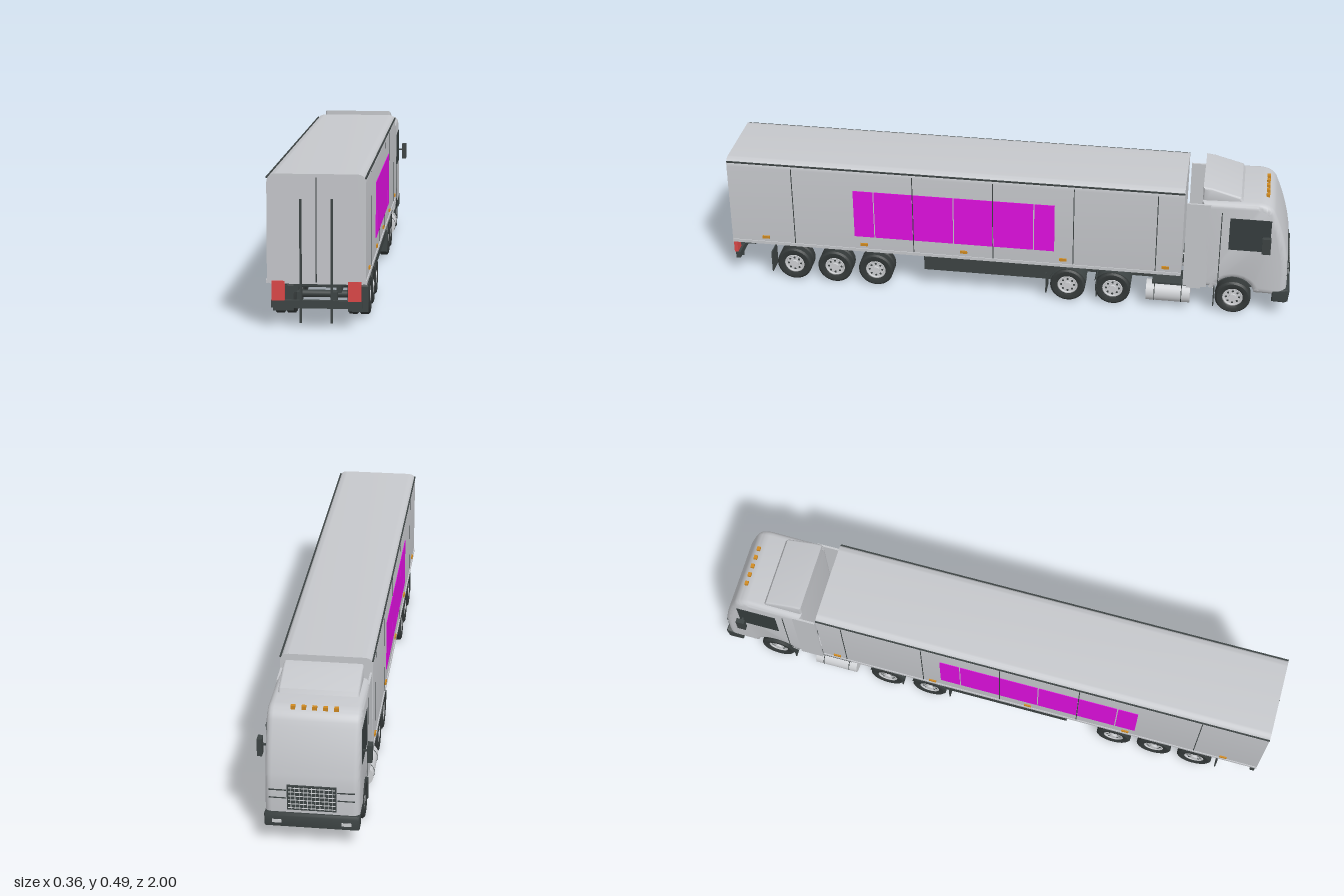
import * as THREE from 'three';
import { toCreasedNormals } from 'three/addons/utils/BufferGeometryUtils.js';

const mat = (name, color, side = THREE.FrontSide) => {
  const m = new THREE.MeshStandardMaterial({ color, side });
  m.name = name;
  return m;
};

export function createModel() {
  const root = new THREE.Group();
  root.name = 'articulatedTruck';
  const grey = mat('bodyGrey', 0xc6c8cc);
  const rimGrey = mat('metalGrey', 0xcfd1d4);
  const dark = mat('darkTrim', 0x3d4444, THREE.DoubleSide);
  const rubber = mat('tyreRubber', 0x343939, THREE.DoubleSide);
  const glass = mat('windowGlass', 0x363d3e);
  const magenta = mat('magentaPanel', 0xe010e0);
  const red = mat('redLamp', 0xdc4848);
  const orange = mat('orangeLamp', 0xd08a20);

  const add = (name, geo, m, x = 0, y = 0, z = 0) => {
    const mesh = new THREE.Mesh(geo, m);
    mesh.name = name;
    mesh.position.set(x, y, z);
    root.add(mesh);
    return mesh;
  };
  // Box given by its limits on each axis
  const box = (name, m, x0, x1, y0, y1, z0, z1) =>
    add(name, new THREE.BoxGeometry(Math.abs(x1 - x0), y1 - y0, Math.abs(z1 - z0)), m,
      (x0 + x1) / 2, (y0 + y1) / 2, (z0 + z1) / 2);
  const pair = (name, m, x0, x1, ...rest) => {
    box(name + 'Left', m, x0, x1, ...rest);
    box(name + 'Right', m, -x0, -x1, ...rest);
  };
  // Side profile in (z, y), extruded across x with rounded edges
  const sideExtrude = (shape, width, bevel) => {
    const g = new THREE.ExtrudeGeometry(shape, {
      depth: width - 2 * bevel, bevelEnabled: true, bevelSize: bevel, bevelThickness: bevel,
      bevelOffset: -bevel, bevelSegments: 4, curveSegments: 10,
    });
    g.translate(0, 0, -(width - 2 * bevel) / 2);
    g.rotateY(-Math.PI / 2);
    return toCreasedNormals(g, 0.6);
  };

  // Trailer box: rounded section run along z
  const sec = new THREE.Shape();
  const w = 0.151, b = 0.14, t = 0.478, r = 0.028, q = 0.014;
  sec.moveTo(-w + q, b);
  sec.lineTo(w - q, b);
  sec.quadraticCurveTo(w, b, w, b + q);
  sec.lineTo(w, t - r);
  sec.quadraticCurveTo(w, t, w - r, t);
  sec.lineTo(-w + r, t);
  sec.quadraticCurveTo(-w, t, -w, t - r);
  sec.lineTo(-w, b + q);
  sec.quadraticCurveTo(-w, b, -w + q, b);
  const body = new THREE.ExtrudeGeometry(sec, { depth: 1.615, bevelEnabled: false, curveSegments: 6 });
  add('trailerBody', toCreasedNormals(body, 0.6), grey, 0, 0, -0.62);
  box('trailerFloor', dark, -0.135, 0.135, 0.136, 0.1405, -0.61, 0.985);
  pair('trailerTopRail', dark, 0.148, 0.1525, 0.464, 0.469, -0.62, 0.995);
  pair('trailerBottomRail', grey, 0.147, 0.154, 0.141, 0.152, -0.62, 0.995);

  // Side seams, painted panel and marker lamps
  for (const z of [0.763, 0.33, 0.045, -0.24, -0.53])
    pair('sideSeam', dark, 0.1505, 0.1517, 0.153, 0.455, z - 0.0015, z + 0.0015);
  const cuts = [-0.175, -0.1, 0.045, 0.185, 0.33, 0.47, 0.545];
  for (let i = 0; i < cuts.length - 1; i++)
    pair('sidePanel', magenta, 0.15, 0.153, 0.202, 0.386, cuts[i] + 0.002, cuts[i + 1] - 0.002);
  for (const z of [0.87, 0.51, 0.15, -0.205, -0.565])
    pair('sideMarker', orange, 0.151, 0.156, 0.165, 0.175, z - 0.013, z + 0.013);

  // Rear doors, lamps and bumper
  box('doorSeam', dark, -0.0015, 0.0015, 0.145, 0.468, 0.994, 0.997);
  pair('doorBar', dark, 0.044, 0.051, 0.02, 0.402, 0.993, 1.0);
  pair('rearLamp', red, 0.097, 0.137, 0.088, 0.149, 0.985, 0.998);
  box('rearBumper', dark, -0.139, 0.139, 0.064, 0.088, 0.977, 0.993);
  box('rearCrossMember', dark, -0.07, 0.07, 0.125, 0.14, 0.94, 0.96);

  // Trailer chassis
  pair('trailerRail', dark, 0.058, 0.074, 0.107, 0.138, -0.47, 0.96);
  for (let z = -0.4; z < 0.95; z += 0.22)
    box('trailerCrossMember', dark, -0.06, 0.06, 0.12, 0.134, z - 0.008, z + 0.008);
  pair('sideGuard', dark, 0.137, 0.143, 0.08, 0.137, -0.2, 0.295);
  pair('bumperBracket', dark, 0.048, 0.062, 0.08, 0.112, 0.94, 0.98);

  // Tractor chassis and coupling
  pair('tractorRail', dark, 0.048, 0.062, 0.072, 0.1, -0.96, -0.16);
  for (const z of [-0.18, -0.3, -0.47, -0.6, -0.72, -0.88])
    box('tractorCrossMember', dark, -0.05, 0.05, 0.076, 0.096, z - 0.01, z + 0.01);
  add('couplingPlate', new THREE.CylinderGeometry(0.07, 0.07, 0.03, 24), dark, 0, 0.122, -0.31);
  box('engineBlock', dark, -0.045, 0.045, 0.05, 0.12, -0.95, -0.74);

  // Wheels: lathed tyre around the x axis with a stepped metal rim
  const tyre = (width) => {
    const h = width / 2;
    const pts = [[0.036, -h * 0.8], [0.044, -h], [0.056, -h], [0.0625, -h * 0.7], [0.0625, h * 0.7],
      [0.056, h], [0.044, h], [0.036, h * 0.8]].map(([a, c]) => new THREE.Vector2(a, c));
    return toCreasedNormals(new THREE.LatheGeometry(pts, 28).rotateZ(-Math.PI / 2), 0.6);
  };
  const disc = (rad, width, n = 24) => new THREE.CylinderGeometry(rad, rad, width, n).rotateZ(Math.PI / 2);
  const wheel = (s, z, dual) => {
    const centers = dual ? [0.098, 0.134] : [0.126];
    const width = dual ? 0.034 : 0.046;
    for (const x of centers) {
      add('tyre', tyre(width), rubber, s * x, 0.0635, z);
      add('rim', disc(0.037, width * 0.6), rimGrey, s * x, 0.0635, z);
    }
    const face = s * (centers[centers.length - 1] + width * 0.3);
    add('rimRing', new THREE.TorusGeometry(0.033, 0.004, 6, 24).rotateY(Math.PI / 2), rimGrey, face, 0.0635, z);
    add('hubCap', disc(0.013, 0.014, 16), rimGrey, face, 0.0635, z);
    for (let i = 0; i < 8; i++) {
      const a = i * Math.PI / 4;
      add('rimHole', disc(0.004, 0.002, 8), dark, face, 0.0635 + 0.023 * Math.sin(a), z + 0.023 * Math.cos(a));
    }
  };
  for (const z of [0.773, 0.623, 0.473, -0.222, -0.382, -0.805]) {
    const dual = z > -0.6;
    wheel(1, z, dual);
    wheel(-1, z, dual);
    add('axle', disc(0.012, 0.22, 12), dark, 0, 0.0635, z);
  }

  // Mudguards and flaps
  for (const z of [-0.222, -0.382])
    for (const s of [-1, 1]) {
      const g = new THREE.CylinderGeometry(0.069, 0.069, 0.068, 16, 1, true, 0.35, 2.44);
      g.rotateZ(Math.PI / 2);
      add('mudguard', g, dark, s * 0.116, 0.0635, z);
    }
  for (const z of [0.855, -0.145, -0.325, -0.738])
    pair('mudFlap', dark, 0.085, 0.15, 0.025, 0.105, z - 0.002, z + 0.002);

  // Fuel tanks
  for (const s of [-1, 1]) {
    const g = new THREE.CylinderGeometry(0.037, 0.037, 0.155, 24).rotateX(Math.PI / 2);
    add('fuelTank', g, rimGrey, s * 0.121, 0.057, -0.578);
    for (const z of [-0.53, -0.625])
      add('tankStrap', new THREE.TorusGeometry(0.037, 0.0015, 5, 24), dark, s * 0.121, 0.057, z);
    box('tankStep', dark, s * 0.085, s * 0.14, 0.093, 0.1, -0.64, -0.52);
  }

  // Cab: side profile with wheel arch
  const cab = new THREE.Shape();
  cab.moveTo(-0.68, 0.1);
  cab.lineTo(-0.68, 0.438);
  cab.lineTo(-0.87, 0.444);
  cab.quadraticCurveTo(-0.915, 0.442, -0.93, 0.41);
  cab.quadraticCurveTo(-0.965, 0.33, -0.98, 0.25);
  cab.quadraticCurveTo(-0.99, 0.21, -0.987, 0.085);
  cab.lineTo(-0.876, 0.085);
  cab.absarc(-0.805, 0.07, 0.072, Math.PI - 0.21, 0.21, true);
  cab.lineTo(-0.733, 0.1);
  cab.closePath();
  add('cab', sideExtrude(cab, 0.298, 0.022), grey);
  box('cabFloor', dark, -0.09, 0.09, 0.08, 0.1, -0.97, -0.69);

  // Roof deflector and side fairings
  const def = new THREE.Shape();
  [[-0.68, 0.42], [-0.68, 0.487], [-0.71, 0.483], [-0.81, 0.456], [-0.83, 0.42]]
    .forEach(([z, y], i) => (i ? def.lineTo(z, y) : def.moveTo(z, y)));
  add('roofDeflector', sideExtrude(def, 0.256, 0.008), grey);
  pair('sideFairing', grey, 0.142, 0.149, 0.1, 0.43, -0.71, -0.628);
  pair('rearCabPost', grey, 0.09, 0.145, 0.09, 0.135, -0.69, -0.64);

  // Doors, windows and mirrors
  pair('sideWindow', glass, 0.147, 0.151, 0.262, 0.386, -0.92, -0.778);
  pair('doorSeam', dark, 0.148, 0.1498, 0.115, 0.405, -0.751, -0.748);
  pair('mirror', dark, 0.165, 0.181, 0.27, 0.33, -0.922, -0.892);
  pair('mirrorArm', dark, 0.145, 0.17, 0.303, 0.308, -0.91, -0.904);

  // Roof lamps
  for (let i = -2; i <= 2; i++)
    box('roofLamp', orange, i * 0.034 - 0.007, i * 0.034 + 0.007, 0.436, 0.448, -0.907, -0.895);

  // Grille with bars, front trim lines and bumper
  box('grille', dark, -0.078, 0.078, 0.125, 0.212, -0.991, -0.983);
  for (let i = 0; i < 6; i++) {
    const y = 0.133 + i * 0.0142;
    box('grilleBar', rimGrey, -0.074, 0.074, y - 0.001, y + 0.001, -0.993, -0.99);
  }
  for (let i = -5; i <= 5; i++)
    box('grilleSlat', rimGrey, i * 0.013 - 0.0008, i * 0.013 + 0.0008, 0.129, 0.208, -0.9925, -0.99);
  for (const y of [0.165, 0.193])
    pair('frontTrim', dark, 0.08, 0.135, y - 0.0015, y + 0.0015, -0.9895, -0.982);
  const bump = new THREE.Shape();
  [[-0.94, 0.062], [-0.94, 0.105], [-0.995, 0.115], [-1.0, 0.105], [-0.996, 0.066], [-0.985, 0.06]]
    .forEach(([z, y], i) => (i ? bump.lineTo(z, y) : bump.moveTo(z, y)));
  add('frontBumper', sideExtrude(bump, 0.3, 0.006), dark);
  pair('headlamp', rimGrey, 0.095, 0.125, 0.08, 0.092, -0.9998, -0.99);

  return root;
}
